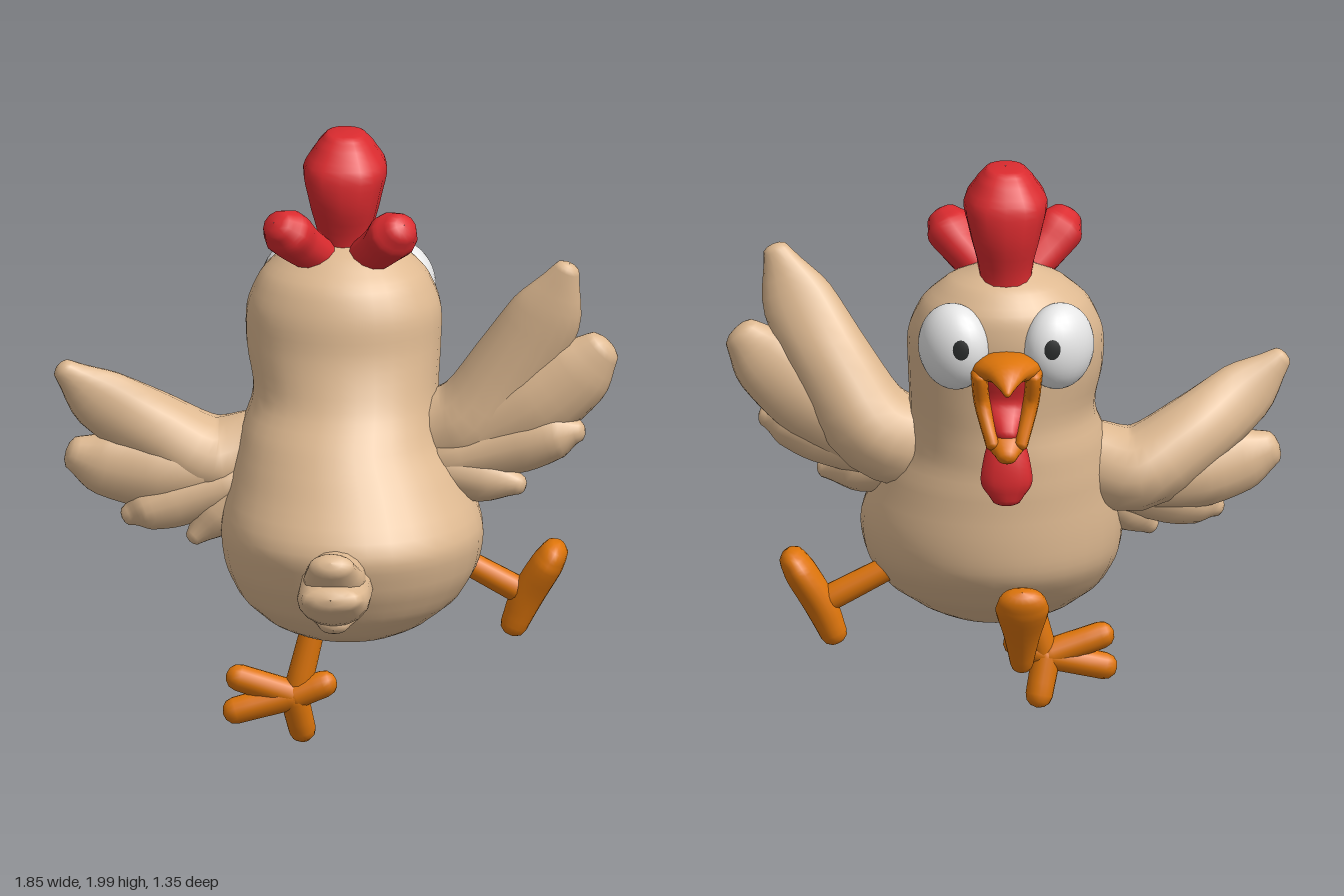
import * as THREE from 'three';

const material = (name, color) => {
  const m = new THREE.MeshStandardMaterial({ color });
  m.name = name;
  return m;
};

// Smooth loft through stations [x, y, z, halfWidth, halfDepth]; the depth lies along `depthAxis`.
// `round` is the bulge of the end caps, `power` below 1 squares off the section.
function loft(stations, depthAxis, { sides = 16, round = 0.7, axis = null, power = 1 } = {}) {
  const path = new THREE.CatmullRomCurve3(stations.map(s => new THREE.Vector3(s[0], s[1], s[2])));
  const size = new THREE.CatmullRomCurve3(stations.map(s => new THREE.Vector3(s[3], s[4], 0)), false, 'catmullrom', 0.4);
  const steps = (stations.length - 1) * 4;
  const rings = [];
  const addRing = (u, scale, shift) => {
    const t = axis ? axis.clone() : path.getTangent(u);
    const r = size.getPoint(u);
    const n = new THREE.Vector3().crossVectors(depthAxis, t).normalize();
    const b = new THREE.Vector3().crossVectors(t, n);
    const c = path.getPoint(u).addScaledVector(t, shift * round * Math.min(r.x, r.y));
    rings.push({ c, n: n.multiplyScalar(r.x * scale), b: b.multiplyScalar(r.y * scale) });
  };
  const cap = [[0.02, 1], [0.5, 0.87], [0.85, 0.53]];
  cap.forEach(([s, h]) => addRing(0, s, -h));
  for (let i = 0; i <= steps; i++) addRing(i / steps, 1, 0);
  cap.slice().reverse().forEach(([s, h]) => addRing(1, s, h));

  const bend = v => Math.sign(v) * Math.abs(v) ** power;
  const position = [], index = [];
  rings.forEach(({ c, n, b }, i) => {
    for (let j = 0; j < sides; j++) {
      const a = j / sides * Math.PI * 2;
      const p = c.clone().addScaledVector(n, bend(Math.cos(a))).addScaledVector(b, bend(Math.sin(a)));
      position.push(p.x, p.y, p.z);
      if (i === rings.length - 1) continue;
      const k = (j + 1) % sides, lo = i * sides, hi = lo + sides;
      index.push(lo + j, lo + k, hi + j, lo + k, hi + k, hi + j);
    }
  });
  const g = new THREE.BufferGeometry();
  g.setAttribute('position', new THREE.Float32BufferAttribute(position, 3));
  g.setIndex(index);
  g.computeVertexNormals();
  return g;
}

export function createModel() {
  const model = new THREE.Group();
  model.name = 'chicken';
  const tan = material('tan feathers', 0xdeb991);
  const red = material('red comb', 0xdb2b2f);
  const orange = material('orange beak and legs', 0xde750a);
  const white = material('eye white', 0xe6e6e6);
  const black = material('pupil black', 0x262828);

  const X = new THREE.Vector3(1, 0, 0), Y = new THREE.Vector3(0, 1, 0), Z = new THREE.Vector3(0, 0, 1);
  const add = (name, geometry, mat, parent = model) => {
    const m = new THREE.Mesh(geometry, mat);
    m.name = name;
    parent.add(m);
    return m;
  };
  const group = name => {
    const g = new THREE.Group();
    g.name = name;
    model.add(g);
    return g;
  };

  // Pear-shaped body running up into the head; the face looks towards -z
  add('body', loft([
    [0.03, 0.368, 0.03, 0.07, 0.08], [0.03, 0.385, 0.03, 0.18, 0.18], [0.03, 0.43, 0.03, 0.27, 0.27],
    [0.035, 0.51, 0.01, 0.365, 0.36], [0.04, 0.62, -0.01, 0.42, 0.43], [0.04, 0.74, -0.01, 0.43, 0.45],
    [0.02, 0.9, -0.065, 0.38, 0.395], [0, 1.02, -0.105, 0.335, 0.35], [0.01, 1.15, -0.15, 0.305, 0.3],
    [0, 1.3, -0.185, 0.32, 0.275], [0, 1.42, -0.2, 0.32, 0.27], [0, 1.52, -0.215, 0.28, 0.245],
    [0, 1.6, -0.23, 0.2, 0.175], [0, 1.655, -0.24, 0.09, 0.08],
  ], Z, { sides: 32, round: 0.1, axis: Y }), tan);

  // Tail of three stubby feathers
  const tail = group('tail');
  [
    [[0.02, 0.66, 0.36, 0.1, 0.1], [0.02, 0.69, 0.52, 0.08, 0.1], [0.02, 0.765, 0.62, 0.045, 0.075]],
    [[0.02, 0.63, 0.36, 0.11, 0.12], [0.02, 0.63, 0.54, 0.09, 0.12], [0.02, 0.655, 0.635, 0.045, 0.1]],
    [[0.02, 0.62, 0.36, 0.1, 0.1], [0.02, 0.57, 0.47, 0.065, 0.09], [0.02, 0.535, 0.53, 0.03, 0.05]],
  ].forEach(f => add('tailFeather', loft(f, X), tan, tail));

  // Wings: the same four feathers, the right one mirrored and lowered about the shoulder
  const feathers = [
    [[0.22, 0.98, -0.12, 0.15, 0.12], [0.42, 1.05, -0.12, 0.155, 0.17], [0.56, 1.25, -0.08, 0.14, 0.13],
      [0.68, 1.46, -0.01, 0.12, 0.07], [0.75, 1.62, 0.02, 0.045, 0.035]],
    [[0.35, 0.98, -0.1, 0.12, 0.13], [0.62, 1.14, -0.06, 0.15, 0.12], [0.78, 1.26, -0.03, 0.125, 0.08],
      [0.86, 1.34, -0.02, 0.07, 0.05]],
    [[0.35, 0.95, -0.07, 0.1, 0.12], [0.6, 1.02, -0.04, 0.11, 0.1], [0.72, 1.05, -0.02, 0.085, 0.08],
      [0.78, 1.06, -0.01, 0.04, 0.04]],
    [[0.3, 0.93, -0.06, 0.1, 0.11], [0.48, 0.895, -0.03, 0.09, 0.09], [0.59, 0.875, 0, 0.035, 0.035]],
  ];
  const lower = ([x, y, z, w, d]) => {
    const p = new THREE.Vector2(x, y).rotateAround(new THREE.Vector2(0.36, 0.97), -0.52);
    return [-0.35 - (p.x - 0.36) * 0.84, p.y - 0.1, z, w * 0.9, d];
  };
  const leftWing = group('leftWing'), rightWing = group('rightWing');
  feathers.forEach(f => {
    add('wingFeather', loft(f, Z), tan, leftWing);
    add('wingFeather', loft(f.map(lower), Z), tan, rightWing);
  });

  // Comb: one tall crest and two side lobes
  const comb = group('comb');
  add('crest', loft([
    [0, 1.55, -0.25, 0.1, 0.12], [0, 1.65, -0.25, 0.09, 0.13], [0, 1.78, -0.245, 0.12, 0.165],
    [0, 1.88, -0.245, 0.138, 0.162], [0, 1.955, -0.25, 0.095, 0.115], [0, 1.99, -0.25, 0.065, 0.08],
  ], Z, { sides: 16, round: 0.15, axis: Y, power: 0.8 }), red, comb);
  for (const s of [-1, 1]) {
    add('combLobe', loft([
      [0.06 * s, 1.59, -0.15, 0.06, 0.06], [0.135 * s, 1.66, -0.08, 0.075, 0.072],
      [0.175 * s, 1.71, -0.035, 0.088, 0.08], [0.2 * s, 1.74, -0.005, 0.062, 0.058],
    ], Y, { sides: 12, round: 0.5 }), red, comb);

    // Bulging eyes with pupils set as thin caps on the surface
    const eye = group(s > 0 ? 'leftEye' : 'rightEye');
    eye.position.set(0.172 * s, 1.43, -0.412);
    eye.rotation.y = -0.7 * s;
    eye.scale.set(0.128, 0.145, 0.1);
    add('eyeball', new THREE.SphereGeometry(1, 28, 20), white, eye);
    const look = new THREE.Vector3(-0.68 * s, 0.15, -0.7).normalize();
    const pupil = new THREE.SphereGeometry(1.03, 16, 4, 0, Math.PI * 2, 0, 0.23);
    pupil.applyQuaternion(new THREE.Quaternion().setFromUnitVectors(Y, look));
    add('pupil', pupil, black, eye);
  }

  // Open beak: upper and lower bills joined by cheeks, with the mouth inside
  const beak = group('beak');
  add('upperBill', loft([
    [0, 1.36, -0.42, 0.12, 0.06], [0, 1.385, -0.52, 0.11, 0.05], [0, 1.385, -0.6, 0.06, 0.035],
    [0, 1.35, -0.675, 0.012, 0.012],
  ], Y), orange, beak);
  add('lowerBill', loft([
    [0, 1.17, -0.42, 0.08, 0.055], [0, 1.13, -0.52, 0.068, 0.042], [0, 1.1, -0.575, 0.035, 0.028],
  ], Y), orange, beak);
  for (const s of [-1, 1]) {
    add('beakCheek', loft([
      [0.09 * s, 1.37, -0.51, 0.028, 0.05], [0.08 * s, 1.26, -0.475, 0.028, 0.045],
      [0.045 * s, 1.13, -0.54, 0.024, 0.035],
    ], Z, { sides: 10 }), orange, beak);
  }
  add('mouth', loft([
    [0, 1.36, -0.48, 0.09, 0.04], [0, 1.25, -0.465, 0.075, 0.03], [0, 1.16, -0.52, 0.045, 0.04],
  ], Z), red, beak);
  add('wattle', loft([
    [0, 1.16, -0.455, 0.05, 0.035], [0, 1.05, -0.48, 0.078, 0.042], [0, 0.98, -0.487, 0.084, 0.042],
    [0, 0.925, -0.49, 0.05, 0.03],
  ], Z, { sides: 12 }), red);

  // Two kicking legs with paddle feet: one to the side, one forward
  const shin = [[0.34, 0.6, -0.145, 0.04, 0.04], [0.6, 0.46, -0.145, 0.045, 0.045]];
  const paddle = [
    [0.562, 0.35, -0.148, 0.045, 0.04], [0.605, 0.45, -0.147, 0.055, 0.06],
    [0.67, 0.56, -0.143, 0.055, 0.088], [0.695, 0.602, -0.14, 0.047, 0.08],
  ];
  const forward = ([x, y, z, w, d]) => [-0.05, y + 0.015, 0.075 - x, w, d];
  const sideLeg = group('sideLeg'), frontLeg = group('frontLeg');
  [['shin', shin], ['foot', paddle]].forEach(([name, part]) => {
    add(name, loft(part, Z, { round: 0.9 }), orange, sideLeg);
    add(name, loft(part.map(forward), X, { round: 0.9 }), orange, frontLeg);
  });

  // Standing leg with four spread toes
  const standingLeg = group('standingLeg');
  add('shin', loft([[-0.07, 0.44, 0.12, 0.04, 0.04], [-0.13, 0.19, 0.135, 0.045, 0.045]], Z), orange, standingLeg);
  [[-0.32, 0.24, 0.155], [-0.33, 0.13, 0.165], [-0.115, 0.052, 0.1], [-0.04, 0.22, 0.14]].forEach(([x, y, z]) =>
    add('toe', loft([[-0.14, 0.18, 0.14, 0.048, 0.052], [x, y, z, 0.045, 0.045]], Z, { round: 0.95 }), orange, standingLeg));

  return model;
}
